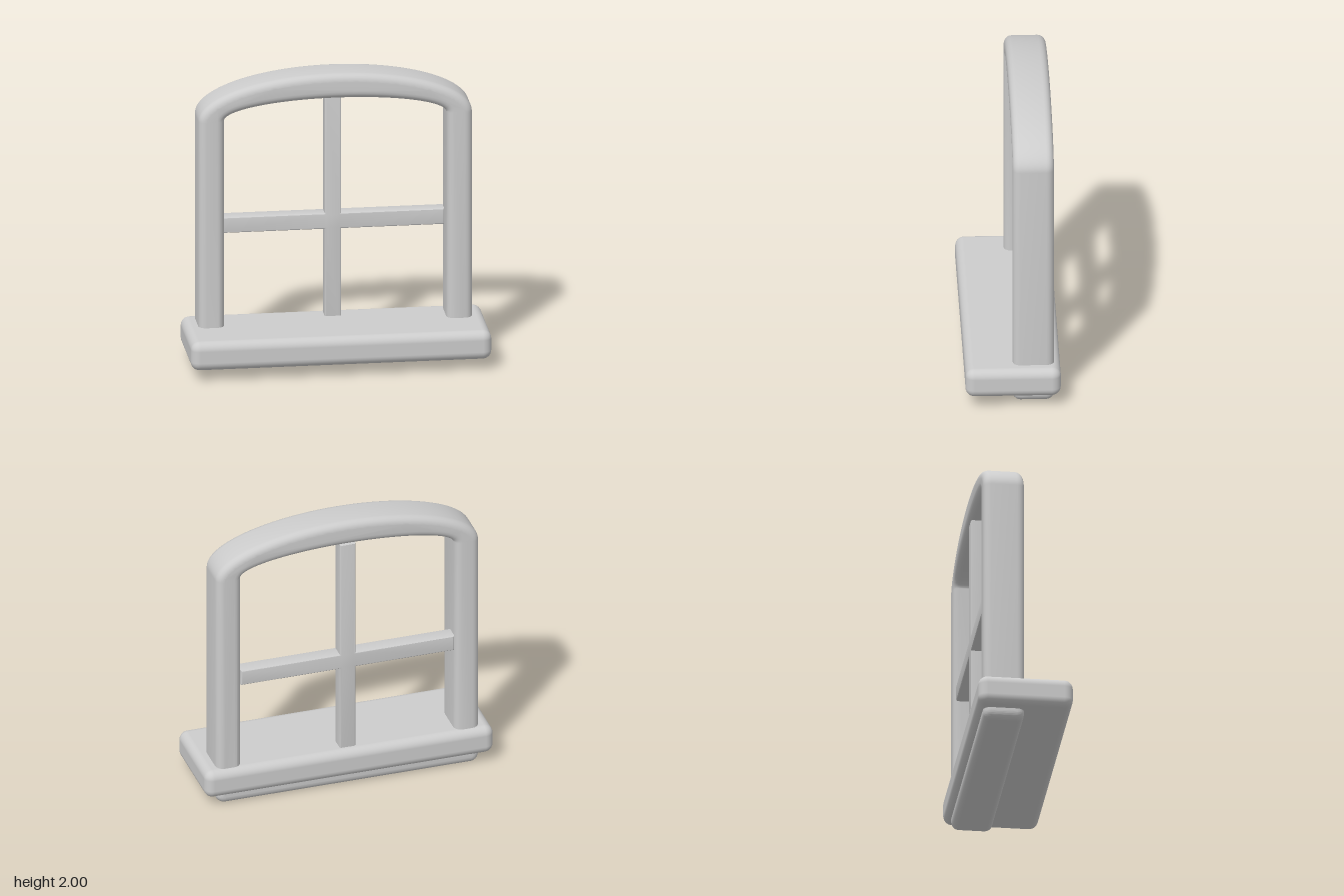
import * as THREE from 'three';
import { toCreasedNormals } from 'three/addons/utils/BufferGeometryUtils.js';
import { RoundedBoxGeometry } from 'three/addons/geometries/RoundedBoxGeometry.js';

// Extrude a shape between two z planes, rounding its edges inward by r
function roundedExtrude(shape, zBack, zFront, r, segments) {
  const geometry = new THREE.ExtrudeGeometry(shape, {
    depth: zFront - zBack - 2 * r,
    bevelEnabled: true,
    bevelThickness: r,
    bevelSize: r,
    bevelOffset: -r,
    bevelSegments: segments,
    curveSegments: 40,
  });
  geometry.translate(0, 0, zBack + r);
  return toCreasedNormals(geometry, 0.4);
}

// Upright outline closed by a half-elliptical arch; corner rounds the feet
function archOutline(target, halfWidth, bottom, spring, rise, corner) {
  const w = halfWidth, c = corner;
  target.moveTo(-w + c, bottom);
  target.lineTo(w - c, bottom);
  if (c > 0) target.absarc(w - c, bottom + c, c, -Math.PI / 2, 0, false);
  target.lineTo(w, spring);
  target.absellipse(0, spring, w, rise, 0, Math.PI, false);
  target.lineTo(-w, bottom + c);
  if (c > 0) target.absarc(-w + c, bottom + c, c, Math.PI, Math.PI * 1.5, false);
  return target;
}

export function createModel() {
  const group = new THREE.Group();
  const grey = new THREE.MeshStandardMaterial({ color: 0xcccccc });
  grey.name = 'light grey';

  const add = (name, geometry) => {
    const mesh = new THREE.Mesh(geometry, grey);
    mesh.name = name;
    group.add(mesh);
    return mesh;
  };

  // Arched frame with its opening
  const frame = archOutline(new THREE.Shape(), 0.91, 0, 1.7, 0.3, 0.06);
  frame.holes.push(archOutline(new THREE.Path(), 0.74, 0.17, 1.7, 0.13, 0));
  add('archedFrame', roundedExtrude(frame, -0.272, 0, 0.05, 5));

  // Window sill
  add('sill', new RoundedBoxGeometry(2, 0.2, 0.63, 4, 0.06)).position.set(0, 0.175, 0);

  // Crossed glazing bars, set toward the back of the frame
  const h = 0.055, mid = 0.935, reach = 0.74, low = 0.2, high = 1.83;
  const cross = new THREE.Shape([
    [-h, low], [h, low], [h, mid - h], [reach, mid - h], [reach, mid + h], [h, mid + h],
    [h, high], [-h, high], [-h, mid + h], [-reach, mid + h], [-reach, mid - h], [-h, mid - h],
  ].map(([x, y]) => new THREE.Vector2(x, y)));
  add('glazingBars', roundedExtrude(cross, -0.255, -0.15, 0.012, 3));

  return group;
}
